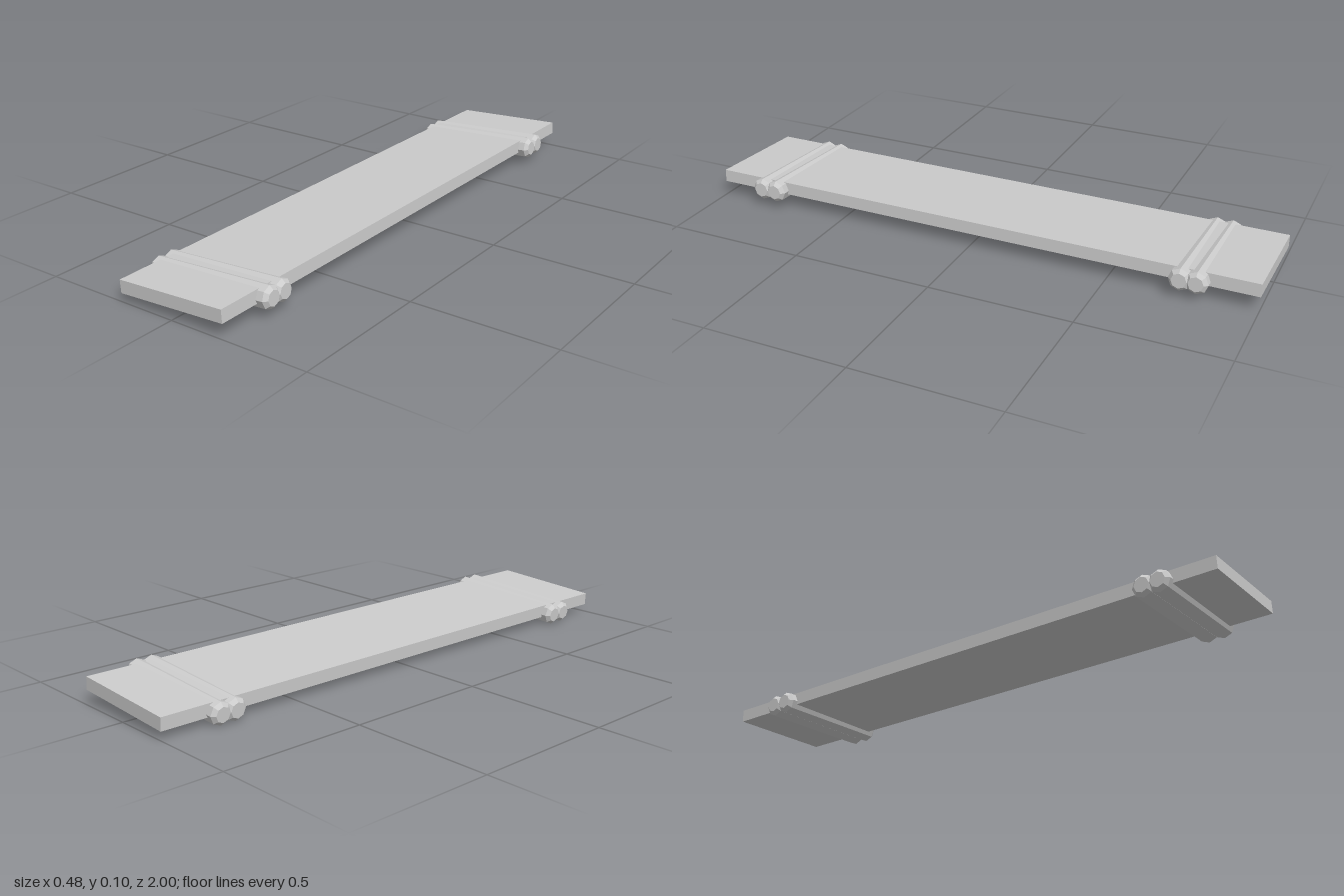
import * as THREE from 'three';

export function createModel() {
  const model = new THREE.Group();
  const material = new THREE.MeshStandardMaterial({ color: 0xcccccc, flatShading: true });

  // Flat plank, leaning slightly sideways
  const plank = new THREE.Mesh(new THREE.BoxGeometry(0.405, 0.0445, 2), material);
  plank.name = 'plank';
  plank.position.set(-0.003, 0.0637, 0);
  plank.rotation.z = THREE.MathUtils.degToRad(3.15);
  model.add(plank);

  // Eight-sided crossbar with bevelled ends
  const radius = 0.0385, capRadius = 0.026, half = 0.238, bevel = 0.013;
  const profile = [
    [0, -half], [capRadius, -half], [radius, bevel - half],
    [radius, half - bevel], [capRadius, half], [0, half],
  ].map(([r, y]) => new THREE.Vector2(r, y));
  const barGeometry = new THREE.LatheGeometry(profile, 8);
  barGeometry.rotateZ(-Math.PI / 2);

  // A pair of overlapping crossbars near each end of the plank
  for (const [name, z] of [['frontBinding', 0.79], ['backBinding', -0.775]]) {
    const binding = new THREE.Group();
    binding.name = name;
    binding.position.set(0, 0.0537, z);
    binding.rotation.z = THREE.MathUtils.degToRad(3.5);
    for (const side of [-1, 1]) {
      const bar = new THREE.Mesh(barGeometry, material);
      bar.name = 'crossbar';
      bar.position.z = side * 0.0275;
      binding.add(bar);
    }
    model.add(binding);
  }
  return model;
}
